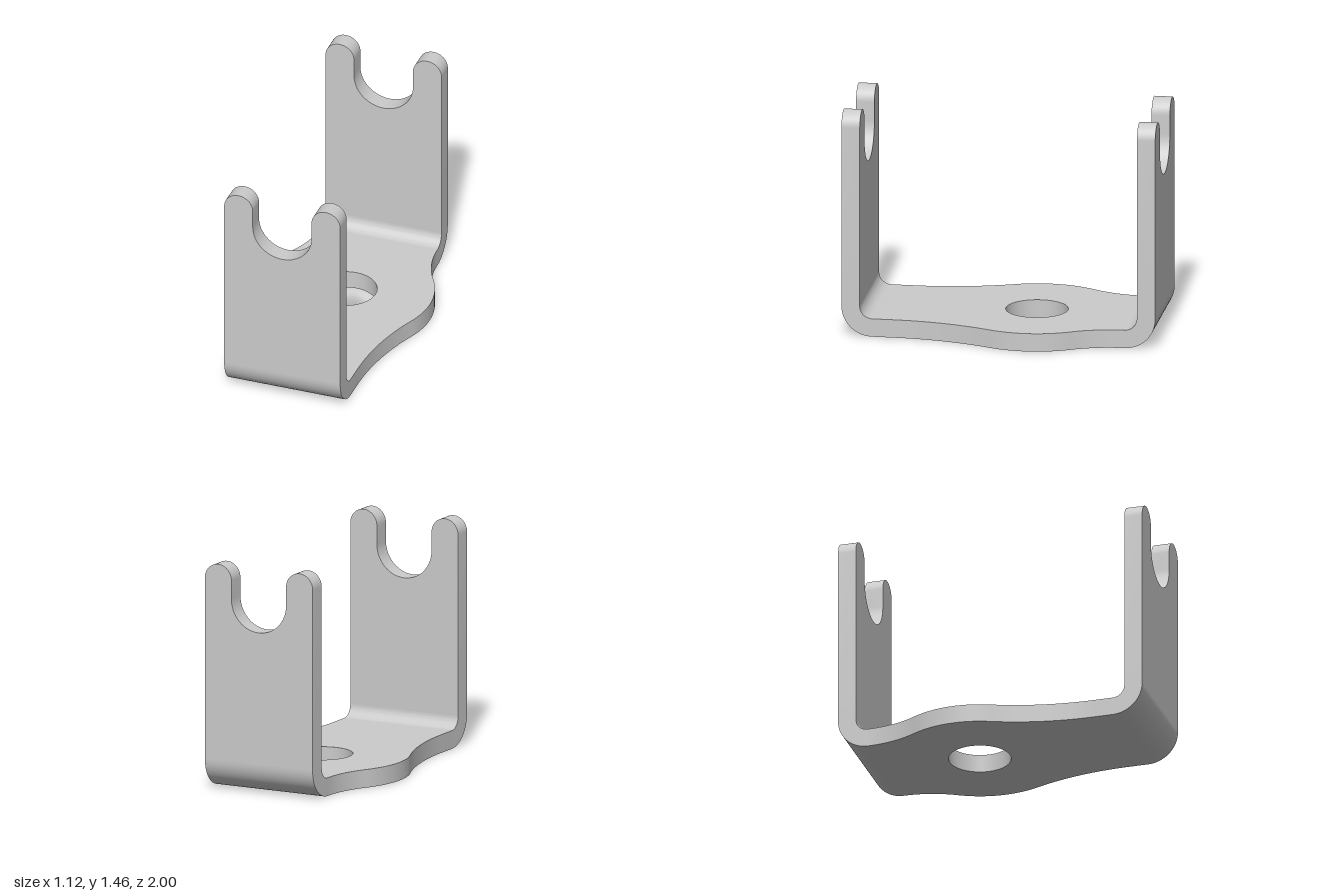
import * as THREE from 'three';
import { toCreasedNormals } from 'three/addons/utils/BufferGeometryUtils.js';

const T = 0.117;             // sheet thickness
const W = 0.388;             // half width of the strip
const R = 0.195;             // outer bend radius
const END = 1 - R;           // where the flat base meets the bends
const HOLE = { s: 0.185, r: 0.197 };
const BULGE = 0.56;          // radius of the widened middle

// Points along an arc; angles may run either way
function arc(cx, cy, r, a0, a1, n = 24) {
  const pts = [];
  for (let i = 0; i <= n; i++) {
    const a = a0 + (a1 - a0) * i / n;
    pts.push(new THREE.Vector2(cx + r * Math.cos(a), cy + r * Math.sin(a)));
  }
  return pts;
}

// Closed outline without doubled points
function outline(pts) {
  return new THREE.Shape(pts.filter((p, i) =>
    p.distanceTo(pts[(i + 1) % pts.length]) > 1e-5));
}

function extrude(shape, depth) {
  return toCreasedNormals(new THREE.ExtrudeGeometry(shape,
    { depth, bevelEnabled: false, curveSegments: 48 }), 0.5);
}

// Fillet tangent to both the bulge circle and the straight strip side
function fillet(dz) {
  const r = (dz * dz + W * W - BULGE * BULGE) / (2 * (BULGE - W));
  return { r, angle: Math.asin(dz / (BULGE + r)) };
}

// Base plate, drawn with y pointing to the back
function baseGeometry() {
  const frontS = -0.67;
  const f = fillet(HOLE.s - frontS), b = fillet(END - HOLE.s);
  const right = [
    new THREE.Vector2(W, -END),
    ...arc(W + f.r, frontS, f.r, Math.PI, Math.PI - f.angle),
    ...arc(0, HOLE.s, BULGE, -f.angle, b.angle),
    ...arc(W + b.r, END, b.r, Math.PI + b.angle, Math.PI),
  ];
  const left = right.map(p => new THREE.Vector2(-p.x, p.y)).reverse();
  const shape = outline([...right, ...left]);
  shape.holes.push(new THREE.Path().absarc(0, HOLE.s, HOLE.r, 0, Math.PI * 2, true));
  return extrude(shape, T).rotateX(-Math.PI / 2);
}

// Upright with a U slot between two rounded prongs
function wallGeometry() {
  const slot = 0.197, tip = (W - slot) / 2, mid = (W + slot) / 2, tipY = 1.457 - tip;
  const shape = outline([
    new THREE.Vector2(-W, R), new THREE.Vector2(W, R),
    ...arc(mid, tipY, tip, 0, Math.PI),
    ...arc(0, 1.242, slot, 0, -Math.PI, 32),
    ...arc(-mid, tipY, tip, 0, Math.PI),
  ]);
  return extrude(shape, T).translate(0, 0, 1 - T);
}

// Quarter bend joining base and upright
function bendGeometry() {
  const shape = outline([
    ...arc(END, R, R, -Math.PI / 2, 0),
    ...arc(END, R, R - T, 0, -Math.PI / 2),
  ]);
  return extrude(shape, 2 * W).rotateY(-Math.PI / 2).translate(W, 0, 0);
}

export function createModel() {
  const model = new THREE.Group();
  model.name = 'bracket';
  const material = new THREE.MeshStandardMaterial({ color: 0xcccccc });
  const add = (parent, name, geometry) => {
    const mesh = new THREE.Mesh(geometry, material);
    mesh.name = name;
    parent.add(mesh);
  };

  add(model, 'basePlate', baseGeometry());

  // Matching arms at the front and back
  const wall = wallGeometry(), bend = bendGeometry();
  for (const side of ['front', 'back']) {
    const arm = new THREE.Group();
    arm.name = side + 'Arm';
    if (side === 'back') arm.rotation.y = Math.PI;
    add(arm, side + 'Upright', wall);
    add(arm, side + 'Bend', bend);
    model.add(arm);
  }
  return model;
}
